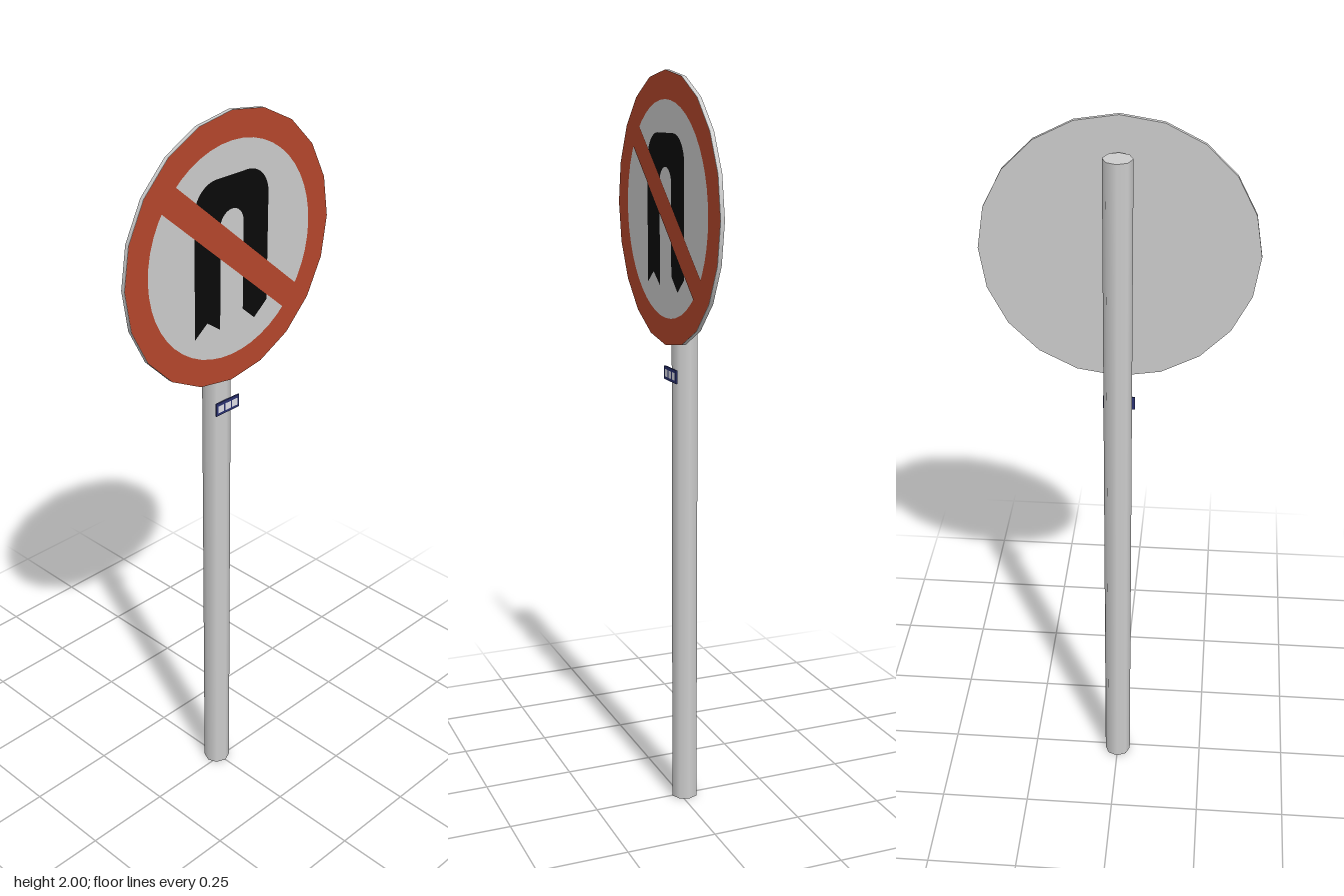
import * as THREE from 'three';

const SIGN_Y = 1.65, R = 0.35, INNER = 0.278, SIDES = 20;

function material(name, color) {
  const m = new THREE.MeshStandardMaterial({ color });
  m.name = name;
  return m;
}

export function createModel() {
  const model = new THREE.Group();
  model.name = 'roadSign';
  const grey = material('light grey', 0xcccccc);
  const red = material('sign red', 0xb5472c);
  const black = material('black', 0x0a0a0a);
  const blue = material('navy blue', 0x2a3170);
  const white = material('label white', 0xe4e4ec);

  const add = (name, geometry, mat, x, y, z) => {
    const mesh = new THREE.Mesh(geometry, mat);
    mesh.name = name;
    mesh.position.set(x, y, z);
    model.add(mesh);
    return mesh;
  };

  // Octagonal pole behind the sign
  add('pole', new THREE.CylinderGeometry(0.037, 0.037, 1.91, 8), grey, 0, 0.955, -0.014);

  // Round plate with a grey rim and back
  const plate = new THREE.CylinderGeometry(R, R, 0.011, SIDES).rotateX(Math.PI / 2);
  add('signPlate', plate, grey, 0, SIGN_Y, 0.0335);

  // Red border: faceted outside, round inside
  const border = new THREE.Shape();
  for (let i = 0; i < SIDES; i++) {
    const a = (i / SIDES) * Math.PI * 2;
    border[i ? 'lineTo' : 'moveTo'](R * Math.cos(a), R * Math.sin(a));
  }
  border.closePath();
  border.holes.push(new THREE.Path().absarc(0, 0, INNER, 0, Math.PI * 2, true));
  add('redBorder', new THREE.ShapeGeometry(border, 24), red, 0, SIGN_Y, 0.04);

  // U-turn symbol: notched tail on one leg, pointed tip on the other
  const w = 0.127, g = 0.04, top = 0.195, r = 0.075;
  const turn = new THREE.Shape();
  turn.moveTo(-w, -0.197);
  turn.lineTo(-0.085, -0.165);
  turn.lineTo(-g, -0.197);
  turn.lineTo(-g, 0.07);
  turn.absarc(0, 0.07, g, Math.PI, 0, true);
  turn.lineTo(g, -0.165);
  turn.lineTo(0.082, -0.202);
  turn.lineTo(w, -0.165);
  turn.lineTo(w, top - r);
  turn.absarc(w - r, top - r, r, 0, Math.PI / 2, false);
  turn.lineTo(r - w, top);
  turn.absarc(r - w, top - r, r, Math.PI / 2, Math.PI, false);
  turn.closePath();
  add('turnSymbol', new THREE.ShapeGeometry(turn, 8), black, 0, SIGN_Y, 0.04);

  // Diagonal prohibition bar, upper left to lower right
  const bar = add('diagonalBar', new THREE.PlaneGeometry(0.58, 0.07), red, 0, SIGN_Y + 0.003, 0.041);
  bar.rotation.z = -0.712;

  // Small label on the pole, blank white panels in a blue frame
  add('labelPlate', new THREE.BoxGeometry(0.084, 0.036, 0.004), blue, 0, 1.22, 0.026);
  for (const side of [-1, 0, 1]) {
    add('labelPanel', new THREE.PlaneGeometry(0.02, 0.02), white, side * 0.025, 1.22, 0.029);
  }
  return model;
}
